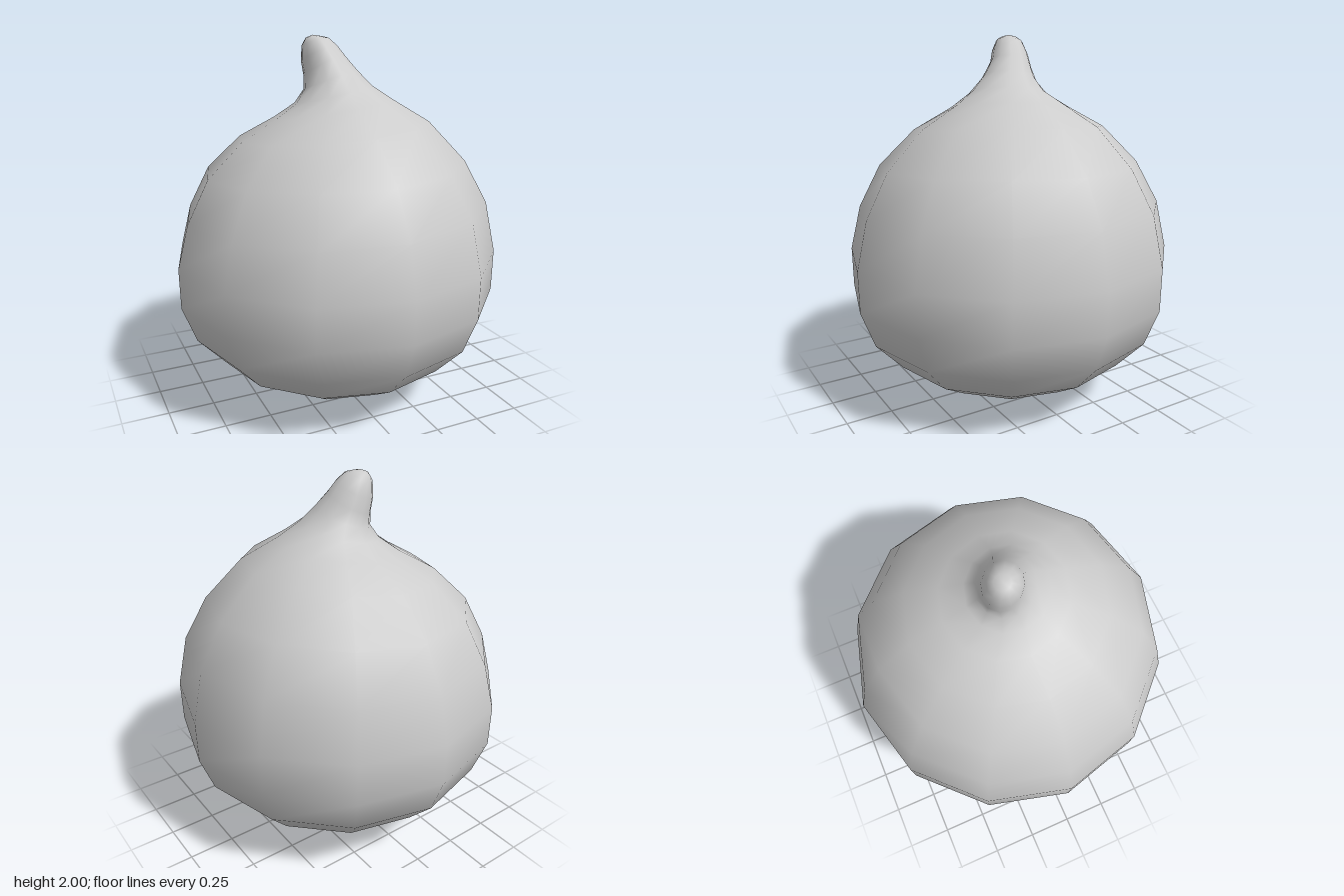
import * as THREE from 'three';

const SIDES = 12;

// Skin stacked rings [centreX, centreZ, radius, y, tiltX, tiltZ, ripple] from bottom to top,
// closed with a pole point at each end.
function skinRings(bottom, rings, top) {
  const pos = [...bottom];
  const index = [];
  for (const [cx, cz, r, y, tx = 0, tz = 0, ripple = 0] of rings) {
    for (let i = 0; i < SIDES; i++) {
      const a = (i / SIDES) * Math.PI * 2;
      const x = r * Math.cos(a), z = r * Math.sin(a);
      pos.push(cx + x, y + tx * x + tz * z + ripple * Math.cos(i * 2.6), cz + z);
    }
  }
  pos.push(...top);
  const last = pos.length / 3 - 1;
  const at = (k, i) => 1 + k * SIDES + (i % SIDES);
  for (let i = 0; i < SIDES; i++) {
    index.push(0, at(0, i), at(0, i + 1));
    for (let k = 0; k < rings.length - 1; k++) {
      const a = at(k, i), b = at(k, i + 1), c = at(k + 1, i), d = at(k + 1, i + 1);
      index.push(a, c, b, b, c, d);
    }
    index.push(at(rings.length - 1, i), last, at(rings.length - 1, i + 1));
  }
  const g = new THREE.BufferGeometry();
  g.setAttribute('position', new THREE.Float32BufferAttribute(pos, 3));
  g.setIndex(index);
  g.computeVertexNormals();
  return g;
}

export function createModel() {
  const group = new THREE.Group();
  group.name = 'fig';
  const material = new THREE.MeshStandardMaterial({ color: 0xcccccc });

  // Crinkled eye underneath, set in a shallow groove
  const eye = [
    [0, 0, 0.03, 0.024, 0, 0, 0.003],
    [0, 0, 0.055, 0.009, 0, 0, 0.007],
    [0, 0, 0.085, 0.022, 0, 0, 0.003],
    [0, 0, 0.105, 0.042],
    [0, 0, 0.13, 0.047],
  ];
  // Round faceted belly
  const belly = [
    [0, 0, 0.17, 0.038],
    [0, 0, 0.24, 0.036],
    [0, 0, 0.37, 0.075],
    [0, 0, 0.5, 0.135],
    [0, 0, 0.67, 0.24],
    [0, 0, 0.82, 0.4],
    [0, 0, 0.895, 0.6],
    [0, 0, 0.898, 0.825, 0.006, 0],
    [0, 0, 0.838, 1.08, 0.036, 0.005],
    [-0.005, 0, 0.715, 1.31, 0.042, 0.01],
    [-0.01, -0.005, 0.52, 1.505, 0.085, 0.03],
  ];
  // Neck narrowing into the leaning stem
  const stem = [
    [-0.005, -0.015, 0.325, 1.615, 0.13, 0.08],
    [-0.01, 0, 0.212, 1.69, 0.19, 0.11],
    [-0.02, -0.015, 0.147, 1.765, 0.27, 0.22],
    [-0.045, -0.04, 0.112, 1.84, 0.35, 0.35],
    [-0.07, -0.05, 0.098, 1.905, 0.3, 0.3],
    [-0.09, -0.058, 0.072, 1.965, 0.22, 0.2],
    [-0.098, -0.062, 0.04, 1.99, 0.08, 0.08],
  ];

  const body = new THREE.Mesh(
    skinRings([0, 0.032, 0], [...eye, ...belly, ...stem], [-0.1, 2, -0.062]), material);
  body.name = 'fruitBody';
  group.add(body);
  return group;
}
